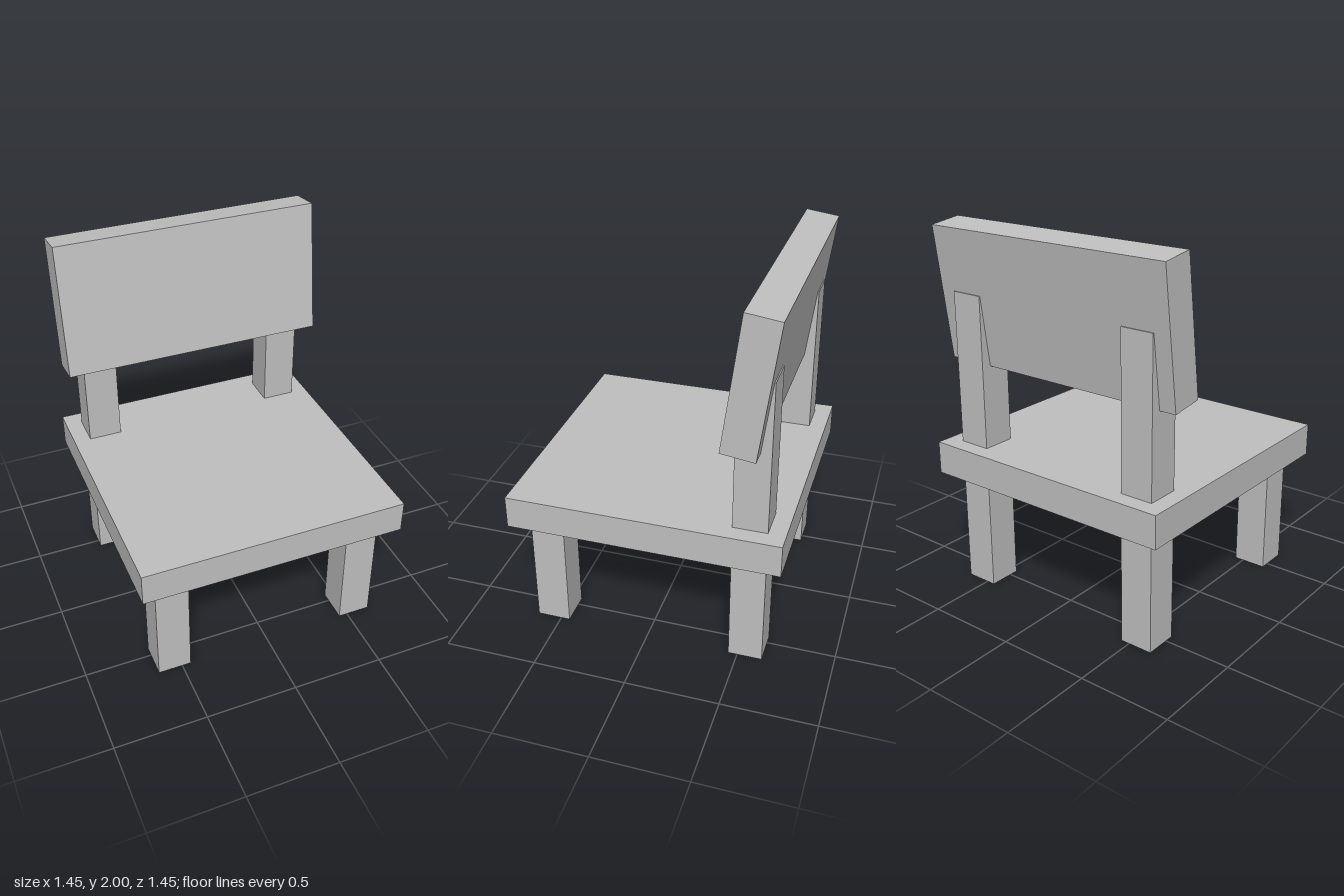
import * as THREE from 'three';

export function createModel() {
  const model = new THREE.Group();
  model.name = 'chair';
  const grey = new THREE.MeshStandardMaterial({ color: 0xc0c0c0 });
  grey.name = 'light grey';

  function block(name, [w, h, d], [x, y, z]) {
    const mesh = new THREE.Mesh(new THREE.BoxGeometry(w, h, d), grey);
    mesh.name = name;
    mesh.position.set(x, y, z);
    model.add(mesh);
    return mesh;
  }

  const legWidth = 0.181;
  const legOffset = 0.542;
  const seatBottom = 0.638;
  const seatThickness = 0.177;
  const seatTop = seatBottom + seatThickness;
  const postTop = 1.64;

  // Square seat slab
  block('seat', [1.446, seatThickness, 1.446], [0, seatBottom + seatThickness / 2, 0]);

  // Legs under the seat, and posts above the back pair
  for (const [side, sx] of [['left', 1], ['right', -1]]) {
    const x = sx * legOffset;
    for (const [end, sz] of [['Front', 1], ['Back', -1]]) {
      block(`${side}${end}Leg`, [legWidth, seatBottom, legWidth], [x, seatBottom / 2, sz * legOffset]);
    }
    block(`${side}BackPost`, [legWidth, postTop - seatTop, legWidth],
      [x, (postTop + seatTop) / 2, -legOffset]);
  }

  // Backrest, leaning backwards over the posts
  const backrest = block('backrest', [1.446, 0.723, 0.179], [0, 1.63, -0.535]);
  backrest.rotation.x = -0.131;

  return model;
}
